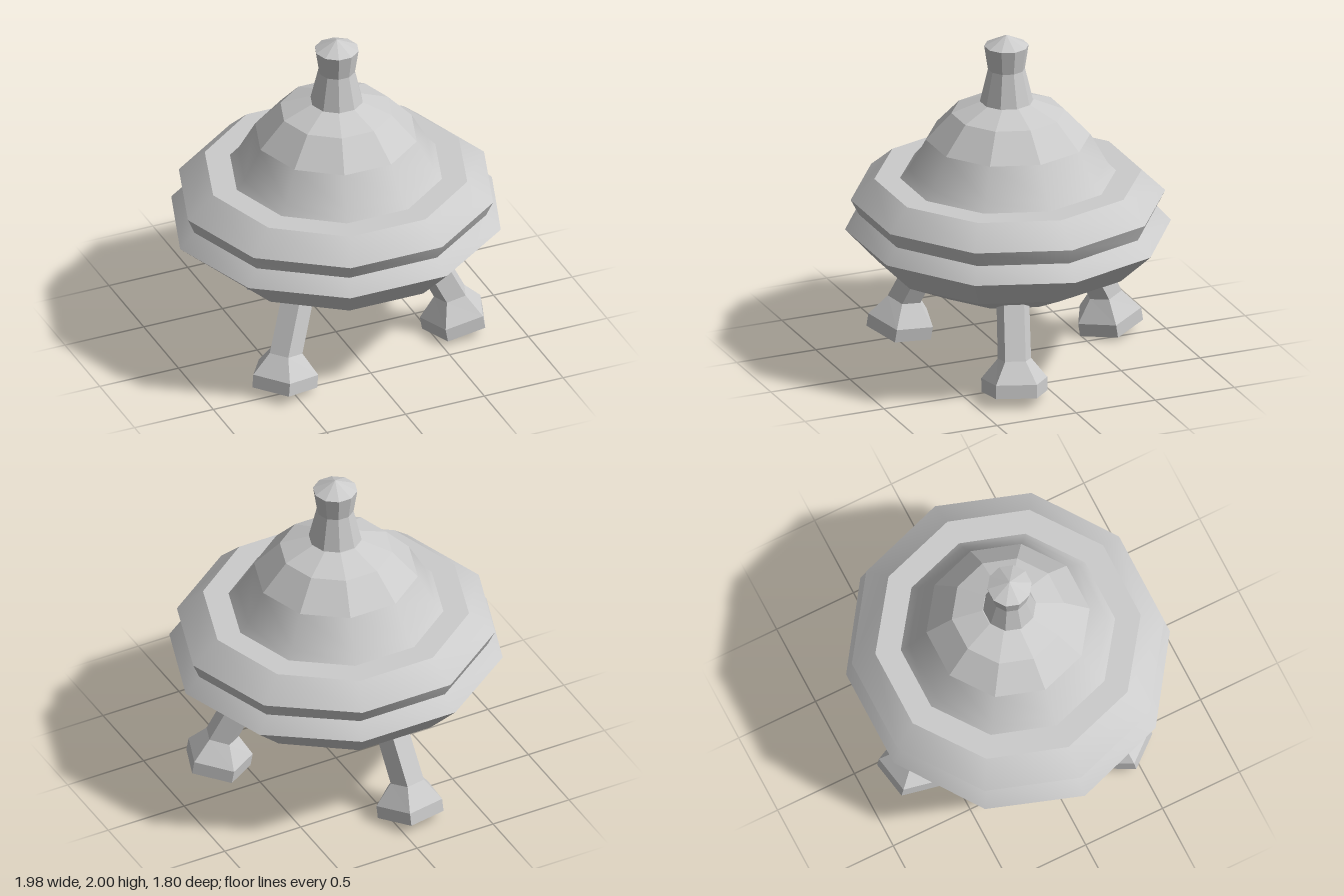
import * as THREE from 'three';
import { toCreasedNormals } from 'three/addons/utils/BufferGeometryUtils.js';

const SMOOTH = 0.66; // softens neighbouring facets, keeps band edges sharp

// Ring of n points: centre (x, y), radius r, z stretch, tilt = rise per unit of x
function ring(n, { x = 0, y, r, zs = 1, tilt = 0, start = 0 }) {
  const c = 1 / Math.hypot(1, tilt);
  return Array.from({ length: n }, (_, i) => {
    const t = start + (i / n) * Math.PI * 2;
    const u = r * Math.cos(t) * c;
    return new THREE.Vector3(x + u, y + u * tilt, r * Math.sin(t) * zs);
  });
}

// Skin joining rings from bottom to top
function loft(rings, crease = 0) {
  const pos = [];
  const tri = (a, b, c) => {
    if (a.distanceTo(b) < 1e-6 || b.distanceTo(c) < 1e-6 || c.distanceTo(a) < 1e-6) return;
    for (const p of [a, b, c]) pos.push(p.x, p.y, p.z);
  };
  for (let k = 0; k < rings.length - 1; k++) {
    const lo = rings[k], hi = rings[k + 1], n = lo.length;
    for (let i = 0; i < n; i++) {
      const j = (i + 1) % n;
      tri(lo[i], hi[i], hi[j]);
      tri(lo[i], hi[j], lo[j]);
    }
  }
  const geo = new THREE.BufferGeometry();
  geo.setAttribute('position', new THREE.Float32BufferAttribute(pos, 3));
  geo.computeVertexNormals();
  return crease ? toCreasedNormals(geo, crease) : geo;
}

// Ten-sided part from [radius, y, zStretch] rows
const decagon = (rows, crease) =>
  loft(rows.map(([r, y, zs = 1]) => ring(10, { r, y, zs })), crease);

export function createModel() {
  const model = new THREE.Group();
  const flat = new THREE.MeshStandardMaterial({ color: 0xcccccc, flatShading: true });
  const smooth = new THREE.MeshStandardMaterial({ color: 0xcccccc });
  const add = (name, geo, mat, parent = model) => {
    const mesh = new THREE.Mesh(geo, mat);
    mesh.name = name;
    parent.add(mesh);
    return mesh;
  };

  // Faceted underside
  add('lowerHull', decagon([[0, 0.375], [0.45, 0.46], [0.76, 0.61], [0.99, 0.81, 0.955]]), flat);

  // Grooved rim and the flat deck around the dome
  add('rim', decagon([
    [0.99, 0.81, 0.955], [0.9, 0.9, 0.96], [0.94, 0.995, 0.973],
    [0.78, 1.125], [0.63, 1.125],
  ], SMOOTH), smooth);

  // Dome: soft flared foot, faceted crown
  add('domeBase', decagon([[0.63, 1.125], [0.58, 1.18], [0.48, 1.36]], SMOOTH), smooth);
  add('domeCrown', decagon([[0.48, 1.36], [0.33, 1.52], [0.15, 1.59], [0, 1.59]]), flat);

  // Waisted turret with a pointed cap
  const turret = add('turret', decagon([
    [0, 1.59], [0.155, 1.59], [0.108, 1.79], [0.13, 1.935], [0, 2],
  ]), flat);
  turret.position.z = 0.01;

  // Three splayed pentagonal legs, one corner pointing inward
  const pentagon = ([x, y, r, tilt]) => ring(5, { x, y, r, tilt, start: Math.PI });
  const shoulder = [0.67, 0.237, 0.102, 0.2];
  const strut = loft([shoulder, [0.47, 0.63, 0.1, 0.2], [0.47, 0.63, 0, 0.2]].map(pentagon));
  const foot = loft([
    [0.7, 0.036, 0, 0.178], [0.7, 0.036, 0.202, 0.178], [0.687, 0.115, 0.202, 0.178], shoulder,
  ].map(pentagon));
  for (let i = 0; i < 3; i++) {
    const leg = new THREE.Group();
    leg.name = 'leg' + (i + 1);
    add('strut', strut, flat, leg);
    add('foot', foot, flat, leg);
    leg.rotation.y = -THREE.MathUtils.degToRad(20 + i * 120);
    model.add(leg);
  }
  return model;
}
